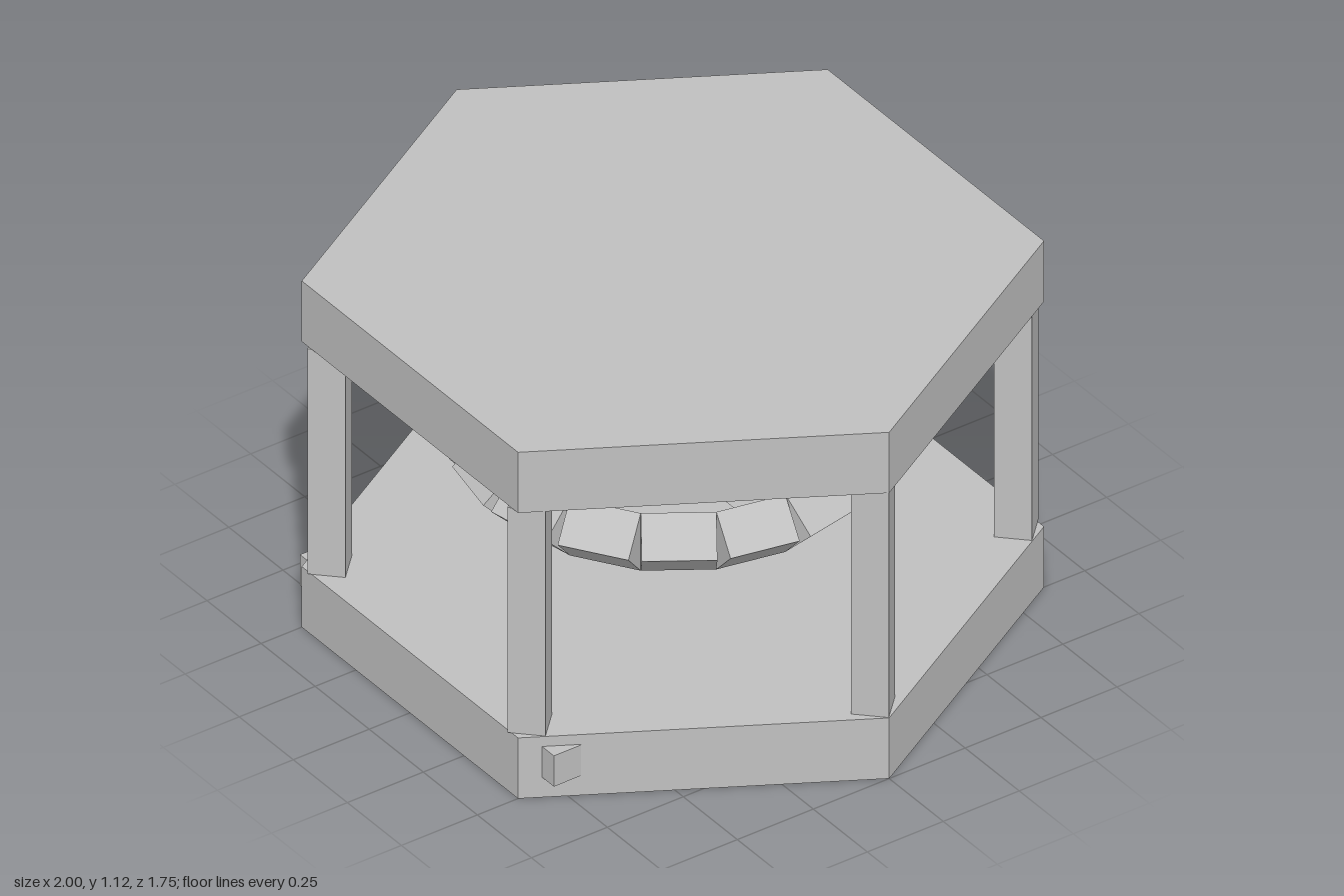
import * as THREE from 'three';

export function createModel() {
  const model = new THREE.Group();
  const grey = new THREE.MeshStandardMaterial({ color: 0xc0c0c0, flatShading: true });
  grey.name = 'plain grey';

  const add = (name, geometry, x, y, z, parent = model) => {
    const mesh = new THREE.Mesh(geometry, grey);
    mesh.name = name;
    mesh.position.set(x, y, z);
    parent.add(mesh);
    return mesh;
  };

  // Hexagonal floor and roof, corners on the x axis
  const plateHeight = 0.197, top = 1.125, middle = top / 2;
  const plate = new THREE.CylinderGeometry(1, 1, plateHeight, 6, 1, false, Math.PI / 6);
  add('floorPlate', plate, 0, plateHeight / 2, 0);
  add('roofPlate', plate, 0, top - plateHeight / 2, 0);

  // Square posts inside each corner, edges pointing along the axes
  const post = new THREE.CylinderGeometry(0.073, 0.073, top - 2 * plateHeight, 4);
  for (let i = 0; i < 6; i++) {
    const a = (i * Math.PI) / 3;
    add('cornerPost', post, 0.925 * Math.cos(a), middle, 0.925 * Math.sin(a));
  }

  // Ring of sixteen square blocks standing on edge
  const ring = new THREE.Group();
  ring.name = 'blockRing';
  model.add(ring);
  const count = 16, radius = 0.51, side = 0.132;
  const block = new THREE.BoxGeometry(side, side, 0.203).rotateZ(Math.PI / 4);
  for (let i = 0; i < count; i++) {
    const a = ((i + 0.5) / count) * Math.PI * 2;
    add('ringBlock', block, radius * Math.cos(a), middle, radius * Math.sin(a), ring).rotation.y = -a;
  }

  // Bar across the ring
  const bar = new THREE.BoxGeometry(1.02, 0.1, 0.1).rotateX(Math.PI / 4);
  add('crossBar', bar, 0, middle, 0);

  // Small knobs on the two front side walls of the floor
  const knob = new THREE.BoxGeometry(0.1, 0.1, 0.09);
  for (const s of [-1, 1]) add(s > 0 ? 'leftKnob' : 'rightKnob', knob, s * 0.537, 0.115, 0.765);

  return model;
}
